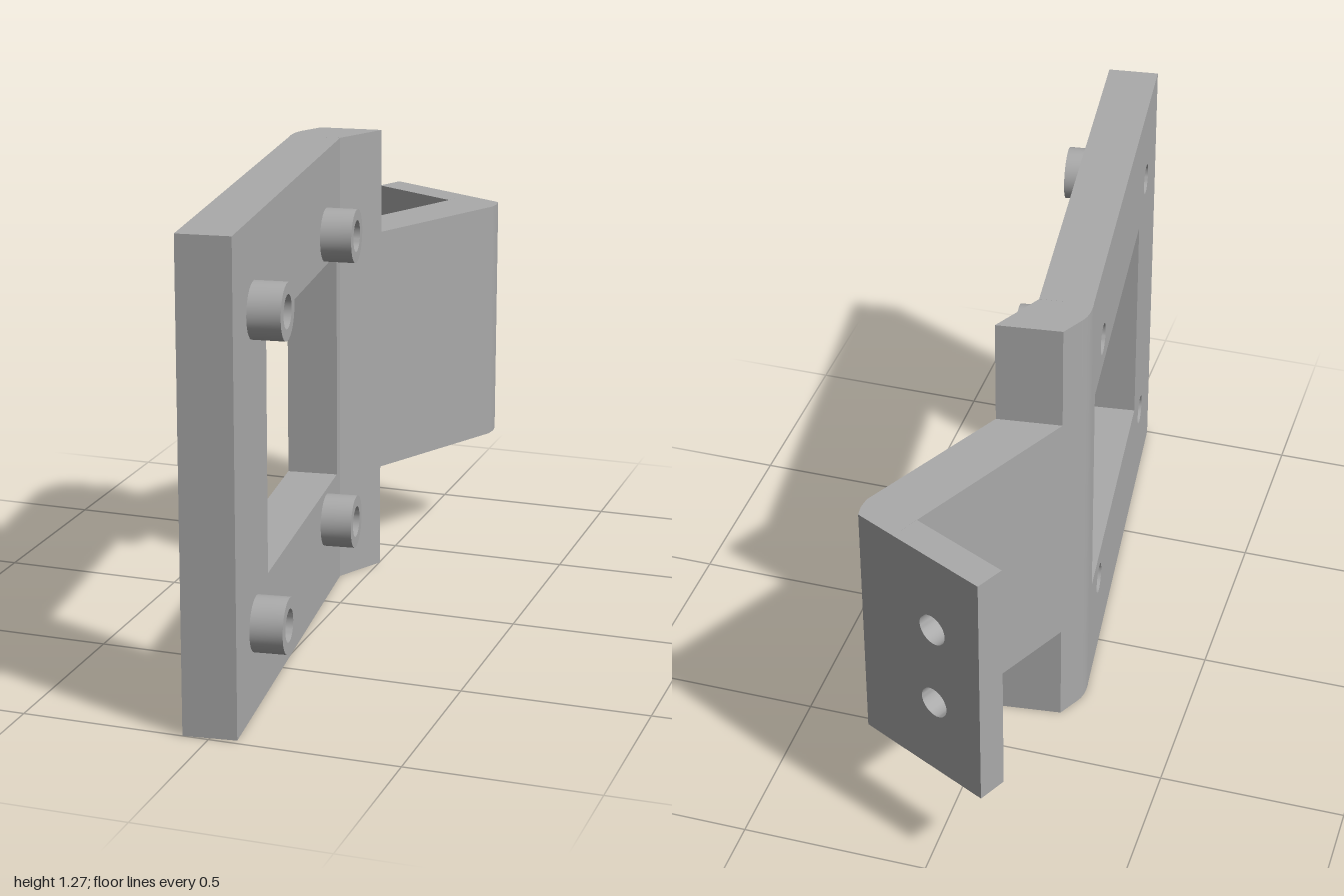
import * as THREE from 'three';
import { toCreasedNormals } from 'three/addons/utils/BufferGeometryUtils.js';

const metal = new THREE.MeshStandardMaterial({ color: 0xaaaaaa });
metal.name = 'grey metal';

const HEIGHT = 1.275;
const ARM_LOW = 0.293, ARM_HIGH = 0.985;
const PLATE_THICK = 0.14, TAB_THICK = 0.083, BORE = 0.043;

function rectangle(x0, y0, x1, y1, Type = THREE.Shape) {
  const r = new Type();
  r.moveTo(x0, y0).lineTo(x1, y0).lineTo(x1, y1).lineTo(x0, y1).closePath();
  return r;
}

function circle(x, y, radius, Type = THREE.Path) {
  const c = new Type();
  c.absarc(x, y, radius, 0, Math.PI * 2, false);
  return c;
}

function extrude(name, shape, depth, z = 0) {
  const geo = new THREE.ExtrudeGeometry(shape, { depth, bevelEnabled: false, curveSegments: 16 });
  geo.translate(0, 0, z);
  const mesh = new THREE.Mesh(toCreasedNormals(geo, 0.5), metal);
  mesh.name = name;
  return mesh;
}

// upright prism from a plan shape drawn in (x, -z)
function prism(name, shape, y0, y1) {
  const mesh = extrude(name, shape, y1 - y0);
  mesh.rotation.x = -Math.PI / 2;
  mesh.position.y = y0;
  return mesh;
}

export function createModel() {
  const model = new THREE.Group();
  model.name = 'angledBracket';

  // slanted mounting plate: local x runs backwards along its outer face
  const plate = new THREE.Group();
  plate.name = 'mountingPlate';
  plate.position.set(0.07, 0, 0.983);
  plate.rotation.y = Math.PI / 2 + 0.118;
  const panel = rectangle(0, 0, 1.195, HEIGHT);
  panel.holes.push(rectangle(0.33, 0.32, 1.151, 0.96, THREE.Path));
  for (const s of [0.204, 1.015]) {
    for (const y of [0.232, 1.045]) {
      panel.holes.push(circle(s, y, BORE));
      // hollow standoff on the outer face
      const ring = circle(s, y, 0.073, THREE.Shape);
      ring.holes.push(circle(s, y, BORE));
      plate.add(extrude('standoff', ring, 0.085));
    }
  }
  plate.add(extrude('platePanel', panel, PLATE_THICK, -PLATE_THICK));
  model.add(plate);

  // full-height bend with a rounded back corner
  const bend = new THREE.Shape();
  bend.moveTo(-0.071, 0.204).lineTo(0.002, 0.347).lineTo(-0.17, 0.327).lineTo(-0.202, 0.265);
  bend.quadraticCurveTo(-0.217, 0.235, -0.21, 0.187);
  bend.closePath();
  model.add(prism('plateBend', bend, 0, HEIGHT));

  // narrower arm with a clipped outer corner
  const arm = new THREE.Shape();
  arm.moveTo(-0.17, 0.327).lineTo(0.002, 0.347).lineTo(0.208, 0.757).lineTo(0.212, 0.79);
  arm.lineTo(0.208, 0.82).lineTo(0.1, 0.874).lineTo(0.064, 0.8).closePath();
  model.add(prism('arm', arm, ARM_LOW, ARM_HIGH));

  // end tab with two screw holes
  const tabShape = rectangle(0, ARM_LOW, 0.284, ARM_HIGH);
  for (const y of [0.52, 0.758]) tabShape.holes.push(circle(0.126, y, BORE));
  const tab = extrude('endTab', tabShape, TAB_THICK, -TAB_THICK);
  tab.position.set(0.1, 0, -0.874);
  tab.rotation.y = Math.PI - 0.459;
  model.add(tab);

  return model;
}
